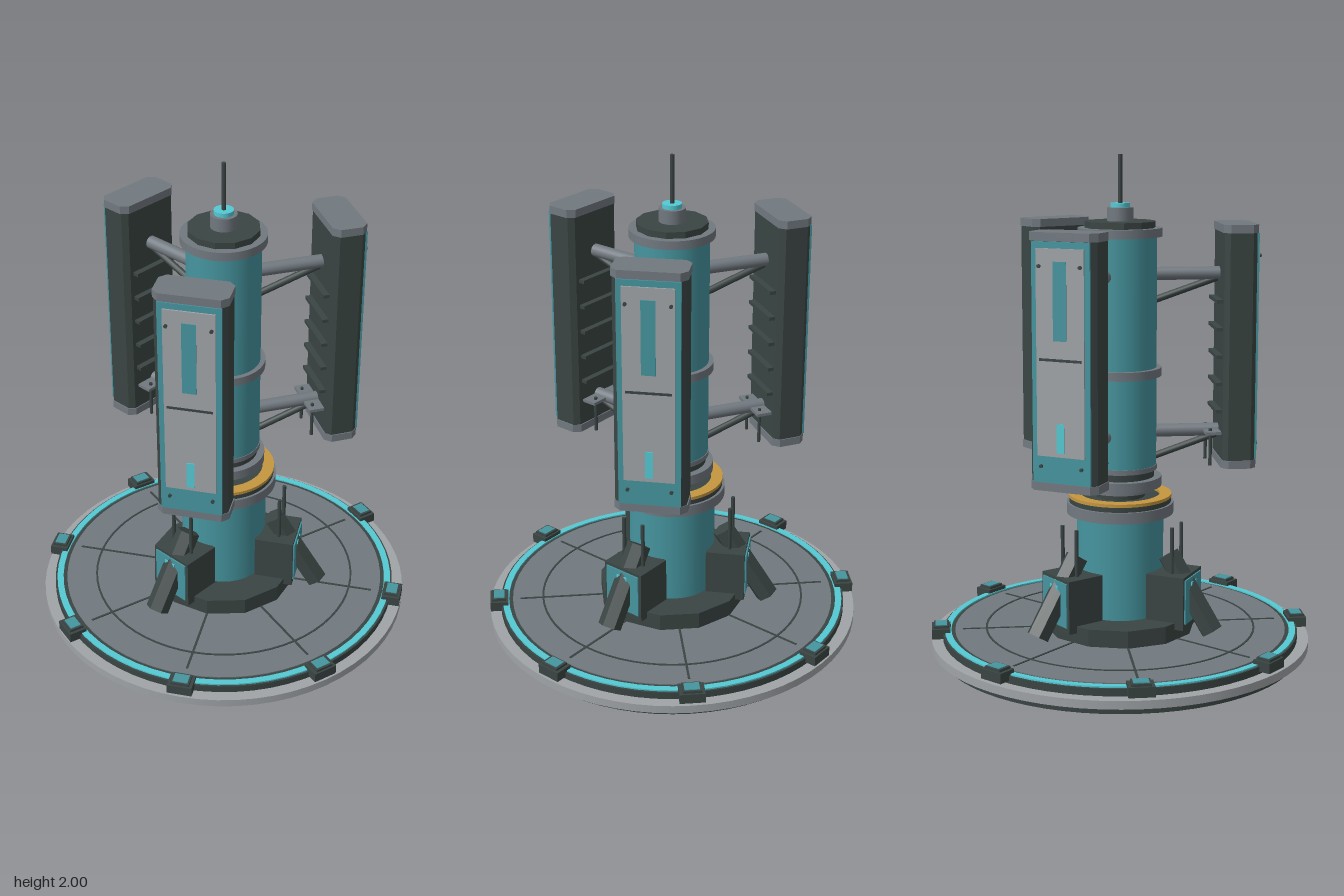
import * as THREE from 'three';
import { toCreasedNormals } from 'three/addons/utils/BufferGeometryUtils.js';

const mat = (name, color) => {
  const m = new THREE.MeshStandardMaterial({ color });
  m.name = name;
  return m;
};

export function createModel() {
  const root = new THREE.Group();
  root.name = 'antennaTower';
  const teal = mat('teal paint', 0x46959f);
  const cyan = mat('cyan light', 0x55cad4);
  const dark = mat('dark metal', 0x3a4543);
  const grey = mat('mid grey metal', 0x717980);
  const light = mat('light grey metal', 0xa0a4a7);
  const gold = mat('gold ring', 0xc49740);

  const add = (parent, name, geo, m, x = 0, y = 0, z = 0) => {
    const mesh = new THREE.Mesh(geo, m);
    mesh.name = name;
    mesh.position.set(x, y, z);
    parent.add(mesh);
    return mesh;
  };
  const box = (p, name, m, w, h, d, x, y, z) => add(p, name, new THREE.BoxGeometry(w, h, d), m, x, y, z);
  // upright cylinder between two heights
  const cyl = (p, name, m, r, y0, y1, x = 0, z = 0, seg = 48) =>
    add(p, name, new THREE.CylinderGeometry(r, r, y1 - y0, seg), m, x, (y0 + y1) / 2, z);
  // flat-sided ring between two heights
  const ring = (p, name, m, ri, ro, y0, y1) => {
    const pts = [[ri, y0], [ro, y0], [ro, y1], [ri, y1], [ri, y0]].map(a => new THREE.Vector2(...a));
    return add(p, name, toCreasedNormals(new THREE.LatheGeometry(pts, 64), 0.6), m);
  };
  // rod between two points
  const rod = (p, name, m, a, b, r, seg = 16) => {
    const A = new THREE.Vector3(...a), B = new THREE.Vector3(...b), dir = B.clone().sub(A);
    const mesh = add(p, name, new THREE.CylinderGeometry(r, r, dir.length(), seg), m);
    mesh.position.copy(A).add(B).multiplyScalar(0.5);
    mesh.quaternion.setFromUnitVectors(new THREE.Vector3(0, 1, 0), dir.normalize());
    return mesh;
  };
  // upright block with chamfered vertical edges
  const chamfered = (p, name, m, w, d, c, y0, y1, z) => {
    const X = w / 2, Z = d / 2;
    const s = new THREE.Shape([[X - c, -Z], [X, c - Z], [X, Z - c], [X - c, Z], [c - X, Z], [-X, Z - c],
      [-X, c - Z], [c - X, -Z]].map(a => new THREE.Vector2(...a)));
    const g = new THREE.ExtrudeGeometry(s, { depth: y1 - y0, bevelEnabled: false });
    g.rotateX(-Math.PI / 2);
    return add(p, name, g, m, 0, y0, z);
  };
  // repeat a part around the axis; local +z points outward
  const around = (name, degrees, build) => degrees.forEach(deg => {
    const g = new THREE.Group();
    g.name = name;
    g.rotation.y = THREE.MathUtils.degToRad(deg);
    build(g);
    root.add(g);
  });
  const eighths = [0, 45, 90, 135, 180, 225, 270, 315];

  // Round base
  const base = new THREE.Group();
  base.name = 'base';
  root.add(base);
  cyl(base, 'baseFoot', dark, 0.73, 0, 0.032, 0, 0, 64);
  cyl(base, 'baseRim', light, 0.767, 0.032, 0.065, 0, 0, 64);
  cyl(base, 'baseStep', dark, 0.722, 0.065, 0.094, 0, 0, 64);
  cyl(base, 'deck', grey, 0.672, 0.09, 0.098, 0, 0, 64);
  ring(base, 'lightRing', cyan, 0.688, 0.714, 0.09, 0.1);
  ring(base, 'deckGroove', dark, 0.541, 0.549, 0.096, 0.1005);
  around('deckSpoke', eighths, g => box(g, 'spokeGroove', dark, 0.009, 0.004, 0.36, 0, 0.0985, 0.46));
  around('rimClamp', eighths, g => {
    box(g, 'clampBlock', dark, 0.1, 0.04, 0.075, 0, 0.095, 0.728);
    box(g, 'clampTop', dark, 0.075, 0.012, 0.06, 0, 0.119, 0.728);
    box(g, 'clampPlate', teal, 0.06, 0.004, 0.045, 0, 0.126, 0.728);
  });

  // Pedestal and turning ring
  const plinth = cyl(root, 'plinth', dark, 0.305, 0.095, 0.168, 0, 0, 12);
  plinth.material.name = 'dark metal';
  plinth.geometry = toCreasedNormals(plinth.geometry, 0.3);
  cyl(root, 'pedestal', teal, 0.175, 0.16, 0.58);
  cyl(root, 'pedestalCollar', grey, 0.215, 0.575, 0.62);
  cyl(root, 'pedestalBand', dark, 0.205, 0.62, 0.642);
  ring(root, 'goldRing', gold, 0.16, 0.207, 0.64, 0.653);

  // Mast
  cyl(root, 'mastCore', dark, 0.1, 0.64, 0.68);
  cyl(root, 'mastFoot', grey, 0.14, 0.67, 0.69);
  cyl(root, 'mastLowerCollar', grey, 0.166, 0.686, 0.726);
  cyl(root, 'mastLowerBand', dark, 0.137, 0.726, 0.755);
  cyl(root, 'mastLowerRing', grey, 0.148, 0.755, 0.775);
  cyl(root, 'mast', teal, 0.145, 0.77, 1.69);
  ring(root, 'mastMiddleRing', grey, 0.14, 0.164, 1.133, 1.167);
  cyl(root, 'mastUpperCollar', grey, 0.166, 1.683, 1.717);
  const cap = cyl(root, 'mastCap', dark, 0.14, 1.717, 1.742, 0, 0, 12);
  cap.geometry = toCreasedNormals(cap.geometry, 0.3);
  cyl(root, 'antennaSocket', grey, 0.052, 1.742, 1.795, 0, 0, 24);
  cyl(root, 'antennaLight', cyan, 0.038, 1.795, 1.812, 0, 0, 24);
  cyl(root, 'antenna', dark, 0.009, 1.81, 2, 0, 0, 12);

  // Three panel antennas with arms and braces
  around('antennaPanel', [0, 120, 240], g => {
    chamfered(g, 'panelBody', dark, 0.272, 0.13, 0.02, 0.79, 1.71, 0.46);
    chamfered(g, 'panelTopCap', grey, 0.28, 0.138, 0.025, 1.7, 1.732, 0.46);
    chamfered(g, 'panelBottomCap', grey, 0.28, 0.138, 0.025, 0.77, 0.802, 0.46);
    box(g, 'panelFrame', teal, 0.236, 0.896, 0.009, 0, 1.251, 0.527);
    box(g, 'panelFace', light, 0.194, 0.77, 0.009, 0, 1.29, 0.533);
    box(g, 'panelSeam', dark, 0.172, 0.01, 0.004, 0, 1.267, 0.537);
    box(g, 'panelStripe', teal, 0.054, 0.29, 0.005, 0, 1.483, 0.538);
    box(g, 'panelLight', cyan, 0.03, 0.11, 0.005, 0, 0.975, 0.538);
    for (const x of [-0.083, 0.083]) for (const y of [0.865, 1.61]) {
      const z = y < 0.9 ? 0.53 : 0.536;
      rod(g, 'panelBolt', dark, [x, y, z], [x, y, z + 0.01], 0.007, 8);
    }
    for (let i = 0; i < 5; i++) box(g, 'coolingRib', dark, 0.2, 0.014, 0.03, 0, 0.995 + i * 0.109, 0.385);
    for (const y of [0.905, 1.535]) {
      rod(g, 'supportArm', grey, [0, y, 0.13], [0, y, 0.4], 0.026, 20);
      rod(g, 'armBrace', dark, [0, y - 0.105, 0.135], [0, y - 0.018, 0.385], 0.014, 12);
    }
    box(g, 'cableBracket', grey, 0.19, 0.012, 0.065, 0, 0.905, 0.365);
    for (const x of [-0.063, 0.063]) cyl(g, 'cableRod', dark, 0.007, 0.77, 0.92, x, 0.355, 8);
  });

  // Three pedestal pods with slanted hexagonal legs
  around('basePod', [90, 210, 330], g => {
    box(g, 'podBox', dark, 0.19, 0.215, 0.16, 0, 0.2475, 0.235);
    box(g, 'podFace', teal, 0.166, 0.18, 0.008, 0, 0.253, 0.317);
    box(g, 'podLight', cyan, 0.052, 0.016, 0.005, 0, 0.315, 0.322);
    const leg = rod(g, 'podLeg', dark, [0, 0.42, 0.212], [0, 0.122, 0.402], 0.048, 6);
    leg.geometry = toCreasedNormals(leg.geometry, 0.3);
    for (const x of [-0.049, 0.049]) cyl(g, 'podRod', dark, 0.008, 0.35, 0.543, x, 0.247, 8);
  });

  return root;
}
